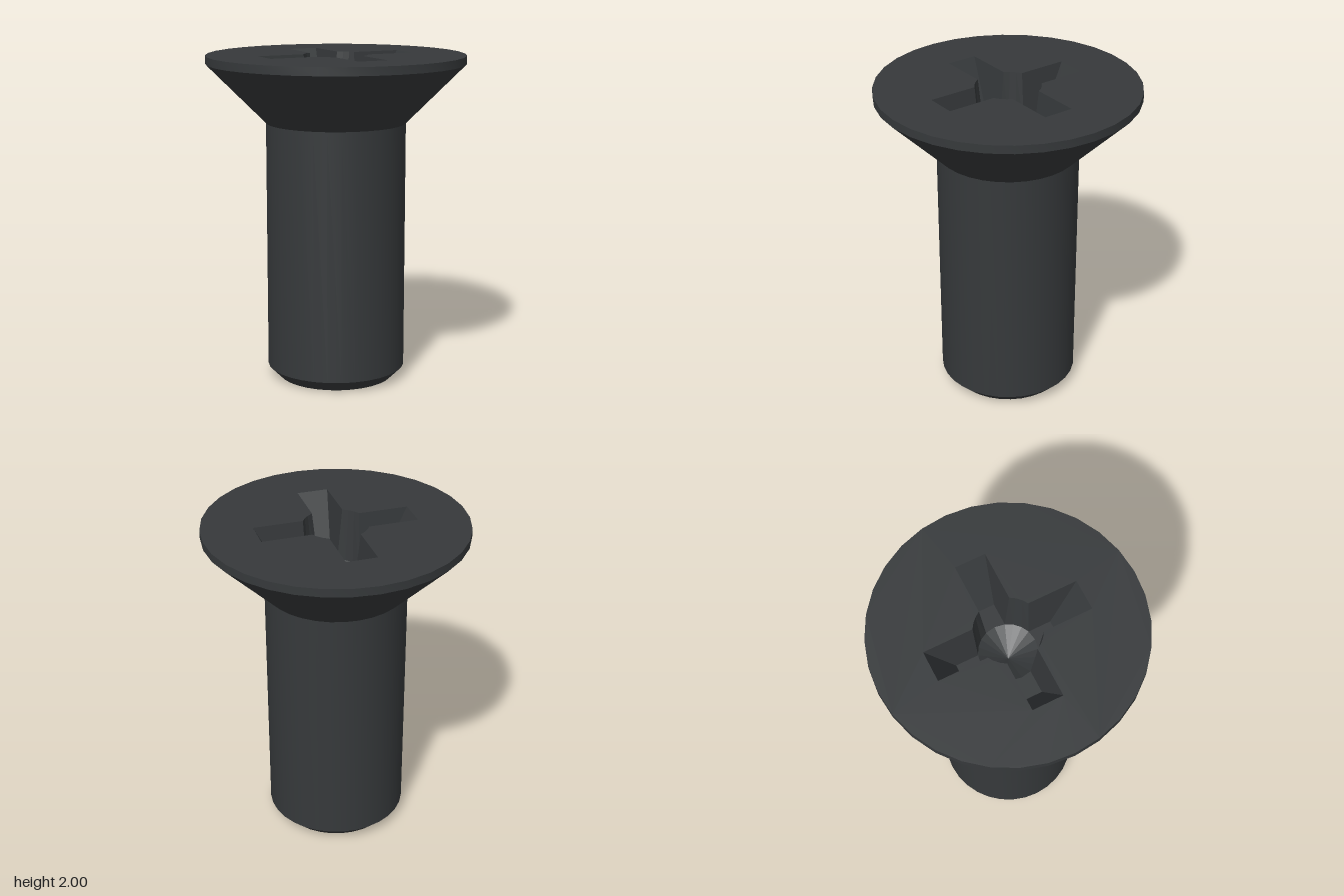
import * as THREE from 'three';
import { toCreasedNormals } from 'three/addons/utils/BufferGeometryUtils.js';

const SIDES = 32, HEAD_R = 0.785, HEIGHT = 2;
const FLOOR_Y = 1.68, TIP_Y = 1.58;

// Cross outline with a round centre, counterclockwise from above, 6 points per arm
function crossOutline(r, w, tip) {
  const inner = Math.sqrt(r * r - w * w), a = Math.asin(w / r), pts = [];
  for (let i = 0; i < 4; i++) {
    const arm = [[inner, -w], [tip, -w], [tip, w], [inner, w]];
    for (const t of [1 / 3, 2 / 3]) {
      const ang = a + (Math.PI / 2 - 2 * a) * t;
      arm.push([r * Math.cos(ang), r * Math.sin(ang)]);
    }
    const turn = new THREE.Vector2();
    for (const [x, y] of arm) pts.push(new THREE.Vector2(x, y).rotateAround(turn, i * Math.PI / 2));
  }
  return pts;
}

export function createModel() {
  const group = new THREE.Group();
  const material = new THREE.MeshStandardMaterial({ color: 0x36393b });
  const add = (name, geometry) => {
    const mesh = new THREE.Mesh(geometry, material);
    mesh.name = name;
    group.add(mesh);
  };

  // Chamfered shank and countersunk head
  const lathe = (points) => toCreasedNormals(
    new THREE.LatheGeometry(points.map(([r, y]) => new THREE.Vector2(r, y)), SIDES), 0.5);
  add('shank', lathe([[0, 0], [0.355, 0], [0.425, 0.07], [0.425, 1.59]]));
  add('countersunkHead', lathe([[0.425, 1.59], [HEAD_R, 1.95], [HEAD_R, HEIGHT]]));

  // Flat top face with the cross cut out
  const top = crossOutline(0.195, 0.093, 0.47);
  const bottom = crossOutline(0.172, 0.06, 0.3);
  const rim = [];
  for (let i = 0; i < SIDES; i++) {
    const a = i / SIDES * Math.PI * 2;
    rim.push(new THREE.Vector2(HEAD_R * Math.cos(a), HEAD_R * Math.sin(a)));
  }
  const face = new THREE.Shape(rim);
  face.holes.push(new THREE.Path(top));
  add('headFace', new THREE.ShapeGeometry(face).rotateX(-Math.PI / 2).translate(0, HEIGHT, 0));

  // Tapered recess: side walls, arm floors and a conical centre
  const at = (p, y) => [p.x, y, -p.y];
  const walls = [], floors = [], cone = [], ring = [];
  top.forEach((p, i) => {
    const j = (i + 1) % top.length;
    // The arm mouths open onto the centre, so every outline edge is a wall
    const a = at(p, HEIGHT), b = at(top[j], HEIGHT);
    const c = at(bottom[i], FLOOR_Y), d = at(bottom[j], FLOOR_Y);
    walls.push(...a, ...b, ...c, ...b, ...d, ...c);
  });
  for (let i = 0; i < 4; i++) {
    const arm = bottom.slice(i * 6, i * 6 + 6);
    const mouth = new THREE.Vector2(0.172, 0).rotateAround(new THREE.Vector2(), i * Math.PI / 2);
    const loop = [arm[1], arm[2], arm[3], mouth, arm[0]];
    for (let k = 1; k < 4; k++) {
      for (const p of [loop[0], loop[k], loop[k + 1]]) floors.push(...at(p, FLOOR_Y));
    }
    ring.push(arm[0], mouth, arm[3], arm[4], arm[5]);
  }
  ring.forEach((p, i) => {
    cone.push(...at(p, FLOOR_Y), ...at(ring[(i + 1) % ring.length], FLOOR_Y), 0, TIP_Y, 0);
  });
  const faces = (positions) => {
    const g = new THREE.BufferGeometry();
    g.setAttribute('position', new THREE.Float32BufferAttribute(positions, 3));
    g.computeVertexNormals();
    return g;
  };
  add('recessWalls', faces(walls));
  add('recessFloor', faces(floors));
  add('recessCone', faces(cone));
  return group;
}
